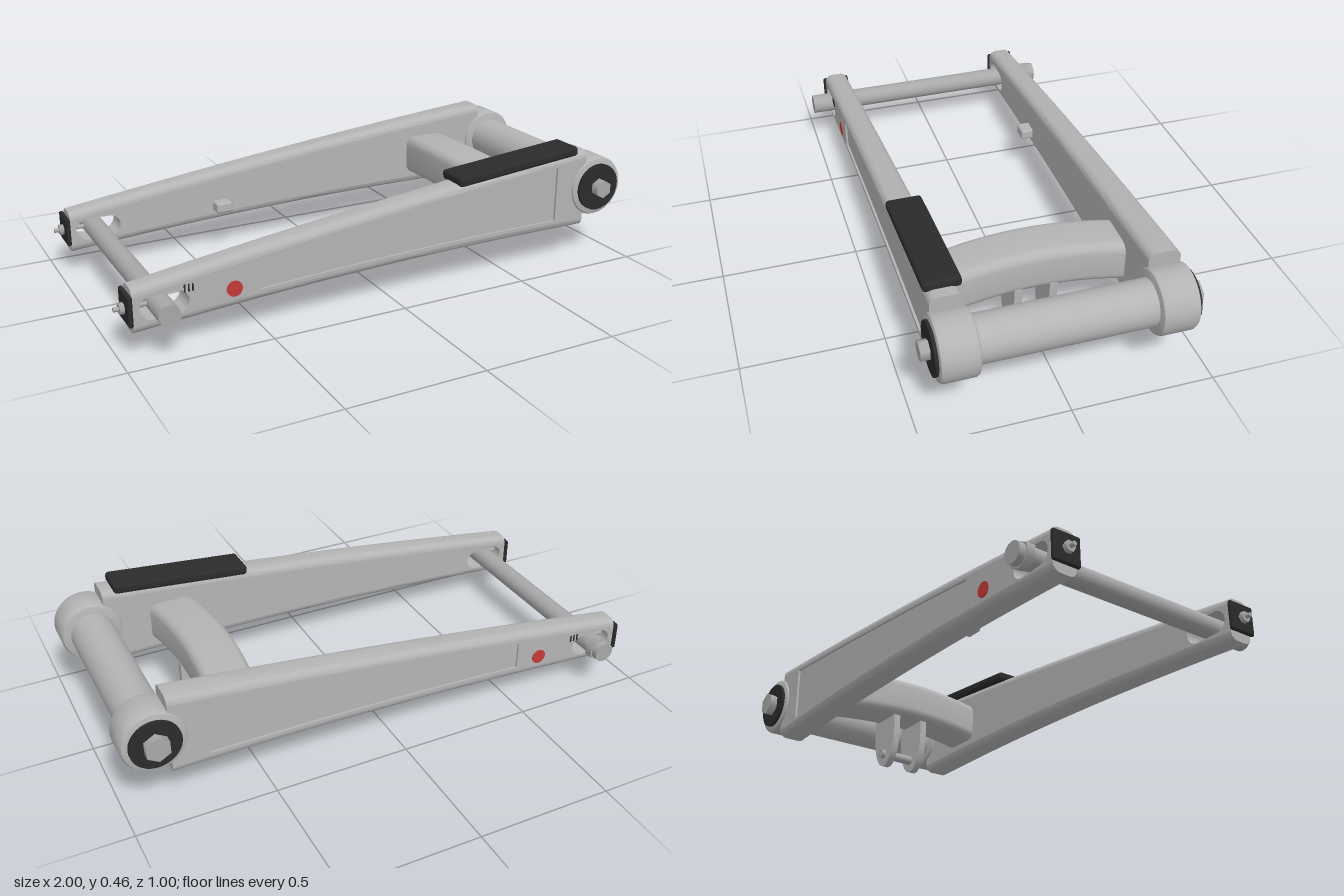
import * as THREE from 'three';
import { toCreasedNormals } from 'three/addons/utils/BufferGeometryUtils.js';
import { RoundedBoxGeometry } from 'three/addons/geometries/RoundedBoxGeometry.js';

const mat = (name, color) => Object.assign(new THREE.MeshStandardMaterial({ color }), { name });
const V = (x, y, z) => new THREE.Vector3(x, y, z);
const lerp = THREE.MathUtils.lerp;

// Arm rules along x: top and bottom edges, centre z and width
const X0 = -0.95, X1 = 0.83, EDGE = 0.028;
const at = (x) => (x - X0) / (X1 - X0);
const topY = (x) => lerp(0.24, 0.438, at(x)) + 0.05 * at(x) * (1 - at(x));
const botY = (x) => lerp(0.083, 0.135, at(x)) + 0.09 * at(x) * (1 - at(x));
const midZ = (x) => lerp(0.378, 0.362, at(x));
const width = (x) => lerp(0.092, 0.112, at(x));

// Closed skin through rings of points, with end caps
function loft(rings) {
  const n = rings[0].length, pos = [], idx = [];
  rings.forEach((r) => r.forEach((p) => pos.push(p.x, p.y, p.z)));
  for (let i = 0; i < rings.length - 1; i++) {
    for (let j = 0; j < n; j++) {
      const k = (j + 1) % n, a = i * n + j, b = i * n + k;
      idx.push(a, b, b + n, a, b + n, a + n);
    }
  }
  [rings[0], rings[rings.length - 1]].forEach((r, end) => {
    const c = r.reduce((s, p) => s.add(p), V(0, 0, 0)).divideScalar(n);
    const ci = pos.length / 3, o = end ? (rings.length - 1) * n : 0;
    pos.push(c.x, c.y, c.z);
    for (let j = 0; j < n; j++) {
      const a = o + j, b = o + (j + 1) % n;
      idx.push(ci, end ? a : b, end ? b : a);
    }
  });
  const g = new THREE.BufferGeometry();
  g.setAttribute('position', new THREE.Float32BufferAttribute(pos, 3));
  g.setIndex(idx);
  return toCreasedNormals(g, 0.6);
}

// Outline between the arm edges, inset by d
function armOutline(Type, xa, xb, d) {
  const pts = [], n = 24;
  for (let i = 0; i <= n; i++) { const x = lerp(xa, xb, i / n); pts.push(new THREE.Vector2(x, botY(x) + d)); }
  for (let i = n; i >= 0; i--) { const x = lerp(xa, xb, i / n); pts.push(new THREE.Vector2(x, topY(x) - d)); }
  return new Type(pts);
}

// Extrudes a side outline between two fractions of the arm width
function armPlate(shape, f0, f1, side) {
  const g = new THREE.ExtrudeGeometry(shape, { depth: 1, bevelEnabled: false, curveSegments: 16 });
  const p = g.attributes.position;
  for (let i = 0; i < p.count; i++) {
    const x = p.getX(i);
    p.setZ(i, side * midZ(x) + lerp(f0, f1, p.getZ(i)) * width(x));
  }
  return toCreasedNormals(g, 0.6);
}

// Rounded strip along the top (dir 1) or bottom (dir -1) of an arm
function armEdge(dir, side) {
  const rings = [];
  for (let i = 0; i <= 24; i++) {
    const x = lerp(X0, X1, i / 24), w = width(x) / 2, ring = [];
    const y = dir > 0 ? topY(x) - EDGE : botY(x) + EDGE;
    for (let j = 0; j <= 13; j++) {
      const a = (j < 7 ? j : j - 1) / 12 * Math.PI;
      const z = (j < 7 ? -1 : 1) * (w - EDGE) - Math.cos(a) * EDGE;
      ring.push(V(x, y + dir * Math.sin(a) * EDGE, side * midZ(x) + dir * z));
    }
    rings.push(ring);
  }
  return loft(rings);
}

function roundRect(w, h, r) {
  const pts = [];
  [[1, 1], [-1, 1], [-1, -1], [1, -1]].forEach(([sx, sy], q) => {
    for (let i = 0; i <= 5; i++) {
      const a = (q + i / 5) * Math.PI / 2;
      pts.push([sx * (w / 2 - r) + r * Math.cos(a), sy * (h / 2 - r) + r * Math.sin(a)]);
    }
  });
  return pts;
}

export function createModel() {
  const model = new THREE.Group();
  model.name = 'swingarm';
  const metal = mat('aluminium', 0xb4b4b4), steel = mat('steel', 0xa8a8a8);
  const black = mat('black rubber', 0x2b2b2b), red = mat('red reflector', 0xc23b36);
  const add = (name, geo, m, x = 0, y = 0, z = 0) => {
    const mesh = new THREE.Mesh(geo, m);
    mesh.name = name;
    mesh.position.set(x, y, z);
    model.add(mesh);
    return mesh;
  };
  // Cylinder lying along z, from za to zb
  const rod = (name, m, r, x, y, za, zb, seg = 32) => add(name,
    new THREE.CylinderGeometry(r, r, Math.abs(zb - za), seg).rotateX(Math.PI / 2), m, x, y, (za + zb) / 2);
  const PX = 0.883, PY = 0.289, AX = -0.853, AY = 0.164;

  for (const side of [1, -1]) {
    const tag = side > 0 ? 'front' : 'back';

    // Arm: plate with axle slot and recessed outer panel, rounded edges
    const web = armOutline(THREE.Shape, X0, X1, EDGE);
    const slot = new THREE.Path();
    slot.absarc(-0.802, 0.168, 0.041, -Math.PI / 2, Math.PI / 2);
    slot.absarc(-0.888, 0.168, 0.041, Math.PI / 2, Math.PI * 1.5);
    web.holes.push(slot, armOutline(THREE.Path, -0.51, 0.70, 0.04));
    add(tag + 'Arm', armPlate(web, -0.5, 0.5, side), metal);
    const panel = armOutline(THREE.Shape, -0.51, 0.70, 0.04);
    add(tag + 'ArmPanel', armPlate(panel, side > 0 ? -0.5 : -0.42, side > 0 ? 0.42 : 0.5, side), metal);
    add(tag + 'ArmTopEdge', armEdge(1, side), metal);
    add(tag + 'ArmBottomEdge', armEdge(-1, side), metal);

    // Reflector and alignment ticks on the outside
    const outer = (x) => side * (midZ(x) + width(x) / 2);
    rod(tag + 'Reflector', red, 0.028, -0.605, 0.175, outer(-0.605) - 0.003, outer(-0.605) + 0.003, 24);
    for (let i = 0; i < 3; i++) {
      const x = -0.776 + i * 0.014;
      add(tag + 'Tick', new THREE.BoxGeometry(0.005, 0.026, 0.005), black, x, 0.212, outer(x));
    }

    // End plate with chain adjuster
    add(tag + 'EndPlate', new RoundedBoxGeometry(0.016, 0.108, 0.108, 3, 0.007), black, -0.958, 0.168, side * 0.379);
    const along = (r, l, seg) => new THREE.CylinderGeometry(r, r, l, seg).rotateZ(Math.PI / 2);
    add(tag + 'AdjusterRod', along(0.008, 0.12, 12), steel, -0.94, 0.166, side * 0.379);
    add(tag + 'AdjusterNut', along(0.02, 0.016, 6), steel, -0.974, 0.166, side * 0.379);

    // Pivot collar and seal
    const prof = [[0, -0.065], [0.101, -0.065], [0.109, -0.062], [0.114, -0.052], [0.114, 0.052],
      [0.109, 0.062], [0.101, 0.065], [0, 0.065]].map(([x, y]) => new THREE.Vector2(x, y));
    add(tag + 'PivotCollar', toCreasedNormals(new THREE.LatheGeometry(prof, 48).rotateX(Math.PI / 2), 0.6),
      metal, PX, PY, side * 0.362);
    rod(tag + 'PivotSeal', black, 0.09, PX, PY, side * 0.42, side * 0.438, 40);
  }

  // Pivot tube, bolt and nut
  rod('pivotTube', metal, 0.081, PX, PY, -0.31, 0.31, 40);
  rod('pivotBoltHead', steel, 0.035, PX, PY, 0.43, 0.47, 6);
  rod('pivotNut', steel, 0.046, PX, PY, -0.43, -0.467, 6);

  // Wheel axle and nut
  rod('axle', steel, 0.038, AX, AY, -0.5, 0.5);
  rod('axleNut', steel, 0.048, AX, AY, -0.443, -0.475, 6);

  // Bowed cross brace
  const rings = [];
  for (let i = 0; i <= 20; i++) {
    const z = lerp(-0.325, 0.325, i / 20), k = 1 - (z / 0.325) ** 2;
    rings.push(roundRect(0.178, 0.155, 0.035).map(([x, y]) => V(0.572 - 0.025 * k + x, 0.262 + 0.02 * k + y, z)));
  }
  add('crossBrace', loft(rings), metal);

  // Linkage lugs and pin under the brace
  const lug = new THREE.Shape();
  lug.moveTo(0.488, 0.225);
  lug.lineTo(0.488, 0.13);
  lug.bezierCurveTo(0.495, 0.04, 0.53, 0.002, 0.562, 0.002);
  lug.bezierCurveTo(0.594, 0.002, 0.629, 0.04, 0.636, 0.13);
  lug.lineTo(0.636, 0.225);
  for (const z of [-0.076, 0.05]) {
    const g = new THREE.ExtrudeGeometry(lug, { depth: 0.027, bevelEnabled: false, curveSegments: 16 });
    add('linkageLug', toCreasedNormals(g, 0.6), metal, 0, 0, z);
  }
  rod('linkagePin', steel, 0.018, 0.565, 0.052, -0.092, 0.085, 20);
  rod('linkagePinHead', steel, 0.027, 0.565, 0.052, 0.079, 0.094, 6);

  // Chain slider pad and inner bracket
  add('chainSlider', new RoundedBoxGeometry(0.522, 0.036, 0.128, 3, 0.012), black, 0.525, 0.42, 0.362).rotation.z = 0.088;
  add('hoseBracket', new RoundedBoxGeometry(0.065, 0.04, 0.06, 2, 0.008), metal, -0.358, 0.18, -0.306);

  return model;
}
